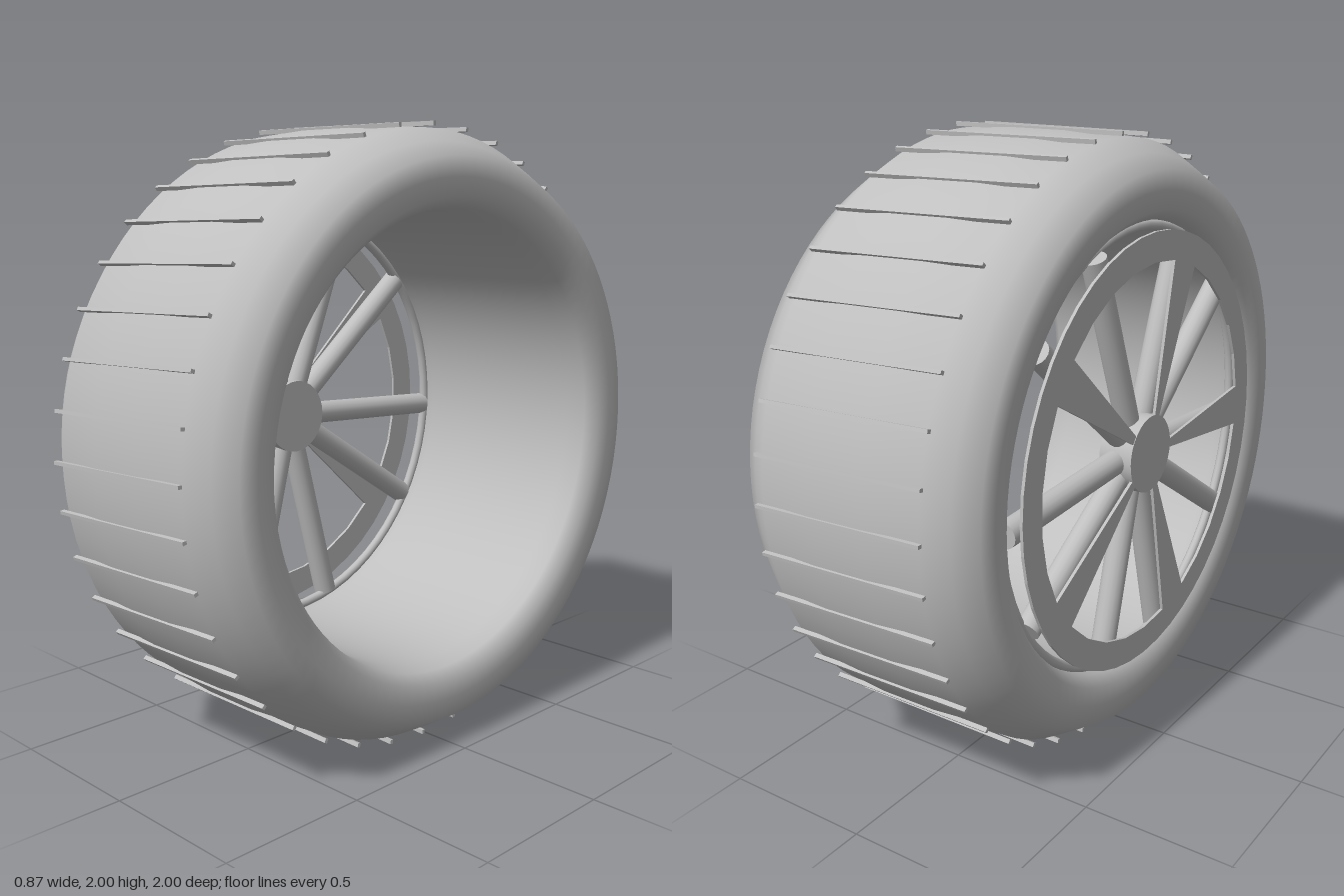
import * as THREE from 'three';

export function createModel() {
  const model = new THREE.Group();
  const grey = new THREE.MeshStandardMaterial({ color: 0xbfbfbf });
  grey.name = 'grey';

  // Wheel group: local z is the axle (world +x), local x is world -z
  const wheel = new THREE.Group();
  wheel.name = 'wheel';
  wheel.rotation.y = Math.PI / 2;
  wheel.position.y = 1;
  model.add(wheel);

  const add = (name, geometry, parent = wheel) => {
    const mesh = new THREE.Mesh(geometry, grey);
    mesh.name = name;
    parent.add(mesh);
    return mesh;
  };

  // Tyre: closed profile [radius, offset from the mid plane], mirrored
  const half = [[0.992, 0.1], [0.979, 0.29], [0.936, 0.362], [0.893, 0.43], [0.83, 0.432], [0.77, 0.427], [0.738, 0.39], [0.728, 0.32], [0.726, 0.2]];
  const up = half.map(([r, x]) => new THREE.Vector2(r, x));
  const down = half.map(([r, x]) => new THREE.Vector2(r, -x)).reverse();
  const profile = [...down, ...up, down[0].clone()];
  const tyre = add('tyre', new THREE.LatheGeometry(profile, 96));
  tyre.rotation.x = Math.PI / 2;
  tyre.position.z = 0.026;

  // Thin tread bars, slightly slanted across the tyre
  const barGeometry = new THREE.BoxGeometry(0.014, 0.011, 0.61);
  for (let i = 0; i < 40; i++) {
    const pivot = new THREE.Group();
    pivot.name = 'treadBarPivot';
    pivot.rotation.z = (i / 40) * Math.PI * 2;
    wheel.add(pivot);
    const bar = add('treadBar', barGeometry, pivot);
    bar.position.set(0.992, 0, 0.025);
    bar.rotation.x = 0.04;
  }

  // Rim ring holding the spoke ends
  add('rimRing', new THREE.TorusGeometry(0.72, 0.016, 10, 64)).position.z = -0.338;

  // Hub
  const hub = add('hub', new THREE.CylinderGeometry(0.127, 0.127, 0.115, 32));
  hub.rotation.x = Math.PI / 2;
  hub.position.z = -0.3575;

  // Five pairs of round spokes
  const spokeGeometry = new THREE.CylinderGeometry(0.04, 0.04, 0.68, 16);
  spokeGeometry.translate(0, 0.375, 0);
  for (let i = 0; i < 5; i++) {
    for (const side of [-1, 1]) {
      const spoke = add('spoke', spokeGeometry);
      spoke.rotation.z = THREE.MathUtils.degToRad(72 * i + 21.3 * side);
      spoke.position.z = -0.35;
    }
  }

  // Outer cover plate: ring with five tapered arms
  const plate = new THREE.Shape();
  plate.absarc(0, 0, 0.712, 0, Math.PI * 2, false);
  for (let i = 0; i < 5; i++) {
    const a = THREE.MathUtils.degToRad(72 * i + 36 + 6.5);
    const b = THREE.MathUtils.degToRad(72 * i + 108 - 6.5);
    const hole = new THREE.Path();
    hole.moveTo(0.11 * Math.cos(a), 0.11 * Math.sin(a));
    for (let k = 0; k <= 5; k++) {
      const t = a + ((b - a) * k) / 5;
      hole.lineTo(0.618 * Math.cos(t), 0.618 * Math.sin(t));
    }
    hole.lineTo(0.11 * Math.cos(b), 0.11 * Math.sin(b));
    hole.closePath();
    plate.holes.push(hole);
  }
  const plateGeometry = new THREE.ExtrudeGeometry(plate, { depth: 0.01, bevelEnabled: false, curveSegments: 24 });
  add('coverPlate', plateGeometry).position.z = -0.413;

  return model;
}
